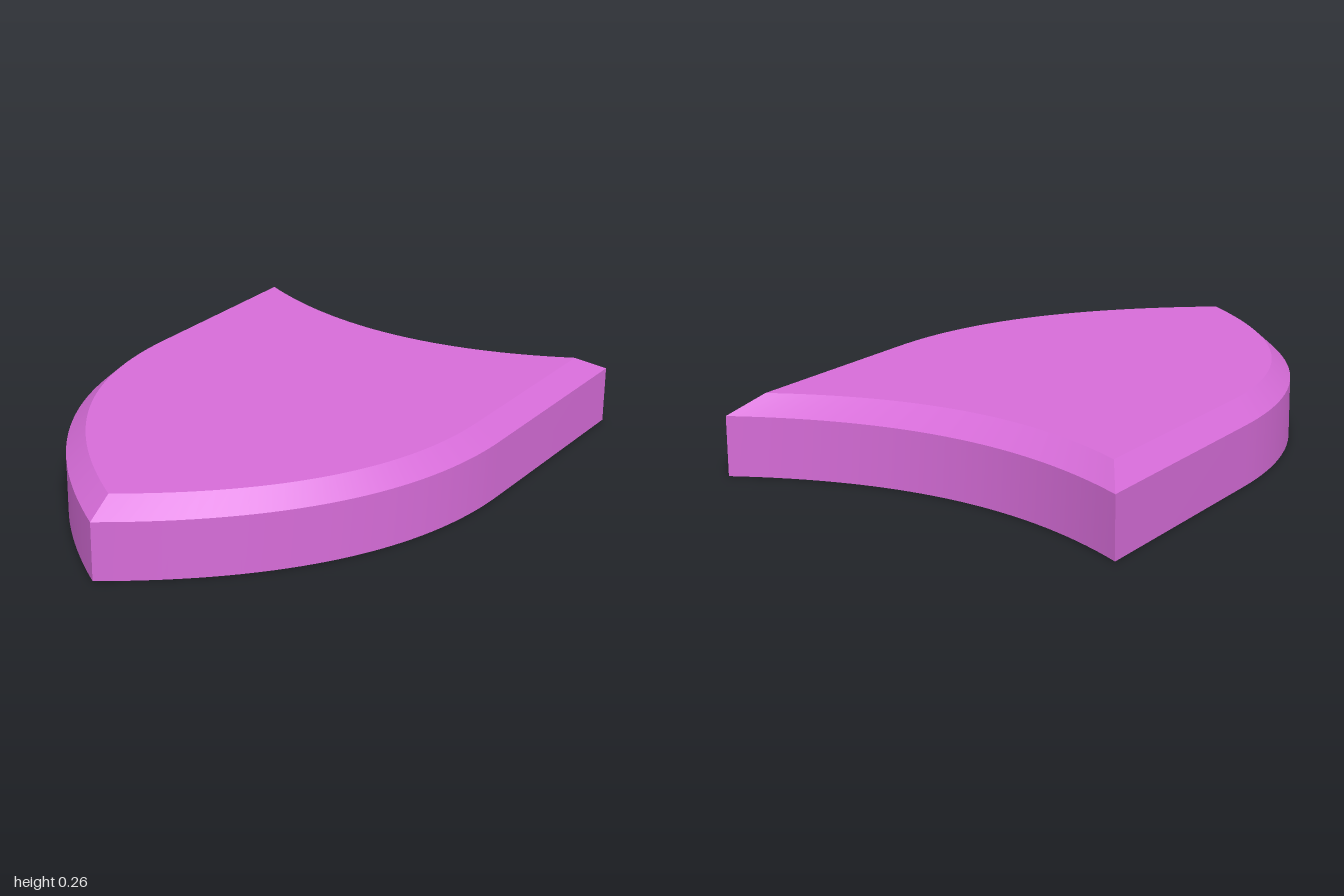
import * as THREE from 'three';
import { toCreasedNormals } from 'three/addons/utils/BufferGeometryUtils.js';

// Shield outline seen from above; shape y points to the back (-z)
function shieldOutline() {
  const s = new THREE.Shape();
  s.moveTo(0, -1);
  s.quadraticCurveTo(0.72, -0.5, 0.72, 0.22);
  s.lineTo(0.72, 1);
  s.quadraticCurveTo(0, 0.62, -0.72, 1);
  s.lineTo(-0.72, 0.22);
  s.quadraticCurveTo(-0.72, -0.5, 0, -1);
  const pts = s.getPoints(32);
  if (pts[0].distanceTo(pts[pts.length - 1]) < 1e-6) pts.pop();
  return pts;
}

// Stack scaled copies of the outline, join them with walls and cap both ends
function loftOutline(outline, levels) {
  const n = outline.length;
  const positions = [];
  const index = [];
  for (const { y, scale, shift } of levels) {
    for (const p of outline) positions.push(p.x * scale, y, -p.y * scale + shift);
  }
  for (let l = 0; l < levels.length - 1; l++) {
    for (let i = 0; i < n; i++) {
      const a = l * n + i;
      const b = l * n + ((i + 1) % n);
      index.push(a, b, b + n, a, b + n, a + n);
    }
  }
  const top = (levels.length - 1) * n;
  for (const [a, b, c] of THREE.ShapeUtils.triangulateShape(outline, [])) {
    index.push(a, c, b, top + a, top + b, top + c);
  }
  const geometry = new THREE.BufferGeometry();
  geometry.setAttribute('position', new THREE.Float32BufferAttribute(positions, 3));
  geometry.setIndex(index);
  return toCreasedNormals(geometry, 0.5);
}

export function createModel() {
  const group = new THREE.Group();
  group.name = 'shield';

  // Straight wall, then a bevel up to the smaller flat face
  const geometry = loftOutline(shieldOutline(), [
    { y: 0, scale: 1, shift: 0 },
    { y: 0.2, scale: 1, shift: 0 },
    { y: 0.26, scale: 0.9, shift: 0.01 },
  ]);
  const plate = new THREE.Mesh(geometry, new THREE.MeshStandardMaterial({ color: 0xd66cd8 }));
  plate.name = 'shieldPlate';
  group.add(plate);
  return group;
}
